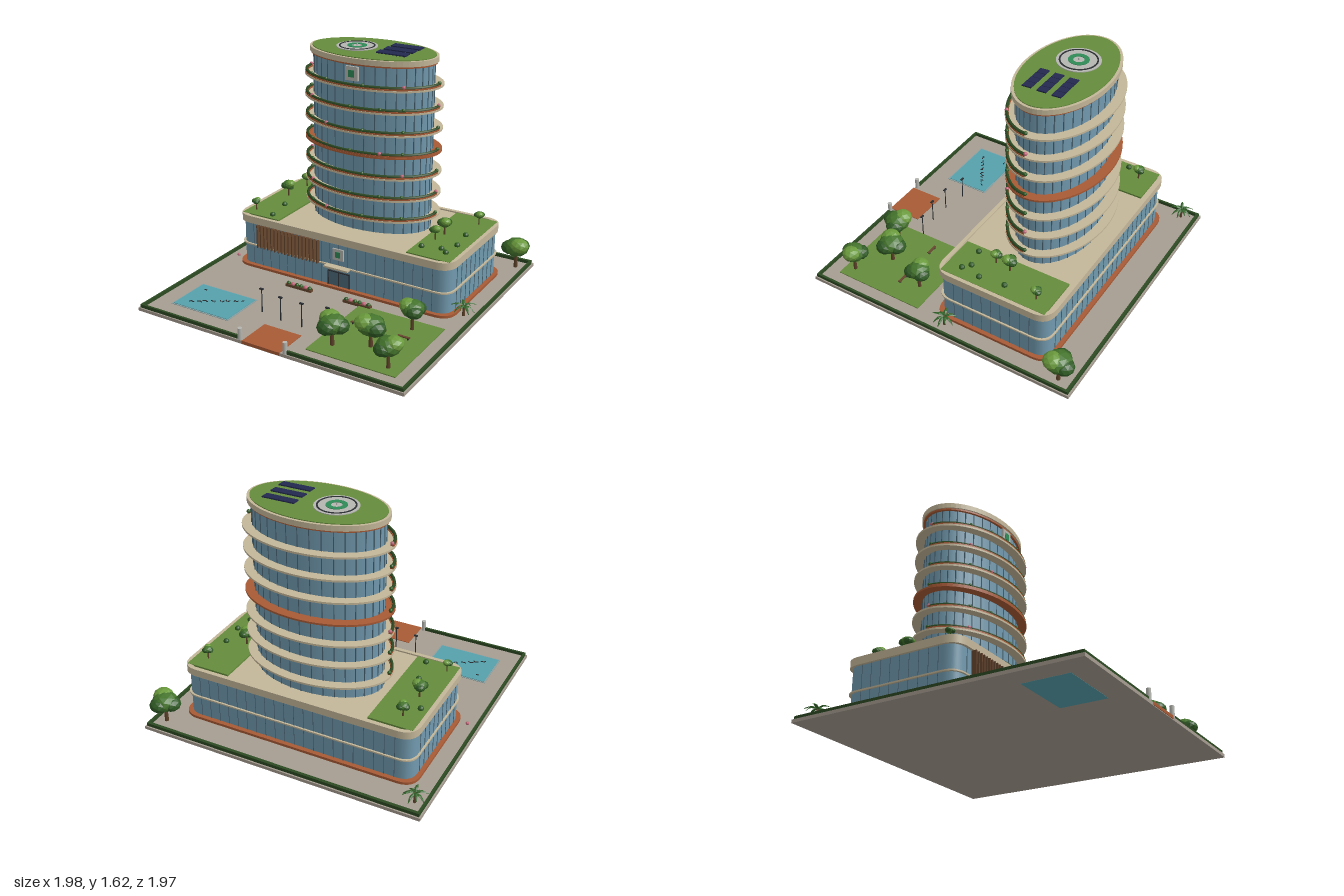
import * as THREE from 'three';

const mat = (color, extra = {}) => new THREE.MeshStandardMaterial({ color, ...extra });
const M = {
  paving: mat(0xa69d91), beige: mat(0xc4b799), glass: mat(0x7199ae), mullion: mat(0x4c6877),
  terracotta: mat(0xa85a35), lawn: mat(0x658c3c), hedge: mat(0x2c4a22), water: mat(0x55a0ab),
  dark: mat(0x2b2f33), bark: mat(0x5c4028), wood: mat(0x66462f), panel: mat(0x23294f), grey: mat(0xb5b5b0),
  green: mat(0x2f8a57), flower: mat(0xc06478), poolEdge: mat(0x88a0a2),
  leafDark: mat(0x2f5a24, { flatShading: true }), leaf: mat(0x44742c, { flatShading: true }),
  leafLight: mat(0x6a9a3c, { flatShading: true }),
  frond: mat(0x35662c, { side: THREE.DoubleSide, flatShading: true }),
};

export function createModel() {
  const root = new THREE.Group();
  const add = (name, geo, material, x = 0, y = 0, z = 0, parent = root) => {
    const m = new THREE.Mesh(geo, material);
    m.name = name;
    m.position.set(x, y, z);
    parent.add(m);
    return m;
  };
  // Box given by its extents on each axis
  const box = (name, material, x0, x1, y0, y1, z0, z1, parent = root) =>
    add(name, new THREE.BoxGeometry(x1 - x0, y1 - y0, z1 - z0), material,
      (x0 + x1) / 2, (y0 + y1) / 2, (z0 + z1) / 2, parent);
  // Flat plate extruded upwards from a plan shape
  const plate = (name, shape, material, x, y0, y1, z, parent = root) => {
    const geo = new THREE.ExtrudeGeometry(shape, { depth: y1 - y0, bevelEnabled: false, curveSegments: 32 });
    return add(name, geo.rotateX(-Math.PI / 2), material, x, y0, z, parent);
  };
  const ellipse = (rx, rz) => new THREE.Shape().absellipse(0, 0, rx, rz, 0, Math.PI * 2);
  const ring = (rx, rz, ix, iz) => {
    const s = ellipse(rx, rz);
    s.holes.push(new THREE.Path().absellipse(0, 0, ix, iz, 0, Math.PI * 2, true));
    return s;
  };
  const roundRect = (hx, hz, r, Kind = THREE.Shape) => {
    const s = new Kind();
    s.moveTo(-hx + r, -hz).lineTo(hx - r, -hz).quadraticCurveTo(hx, -hz, hx, -hz + r);
    s.lineTo(hx, hz - r).quadraticCurveTo(hx, hz, hx - r, hz);
    s.lineTo(-hx + r, hz).quadraticCurveTo(-hx, hz, -hx, hz - r);
    s.lineTo(-hx, -hz + r).quadraticCurveTo(-hx, -hz, -hx + r, -hz);
    return s;
  };

  // Site: ground, hedges, path, pool, lawn
  box('ground', M.paving, -0.99, 0.98, 0.015, 0.037, -0.99, 0.98);
  box('hedgeBack', M.hedge, -0.98, 0.97, 0.037, 0.06, -0.98, -0.96);
  for (const x of [-0.98, 0.955]) box('hedgeSide', M.hedge, x, x + 0.016, 0.037, 0.06, -0.97, 0.97);
  for (const [a, b] of [[-0.98, -0.19], [0.175, 0.97]]) box('hedgeFront', M.hedge, a, b, 0.037, 0.06, 0.957, 0.972);
  for (const x of [-0.175, 0.16]) add('gatePost', new THREE.CylinderGeometry(0.015, 0.015, 0.08, 12), M.grey, x, 0.075, 0.965);
  box('entrancePath', M.terracotta, -0.15, 0.13, 0.02, 0.041, 0.74, 0.984);
  box('poolEdge', M.poolEdge, -0.84, -0.38, 0.02, 0.04, 0.495, 0.825);
  box('poolWater', M.water, -0.83, -0.39, 0.014, 0.043, 0.505, 0.815);
  for (let i = 0; i < 16; i++) {
    const x = -0.77 + ((i * 0.618) % 1) * 0.33, z = 0.56 + ((i * 0.377) % 1) * 0.2;
    const tile = box('poolRipple', M.dark, x, x + 0.02, 0.043, 0.047, z, z + 0.006);
    tile.rotation.y = i * 1.3;
  }
  box('frontLawn', M.lawn, 0.24, 0.86, 0.03, 0.043, 0.21, 0.865);
  for (const x of [0.36, 0.527, 0.695]) {
    box('benchSeat', M.wood, x - 0.042, x + 0.042, 0.055, 0.061, 0.443, 0.46);
    for (const s of [-0.03, 0.03]) box('benchLeg', M.dark, x + s - 0.004, x + s + 0.004, 0.04, 0.055, 0.445, 0.458);
  }
  for (const x of [-0.237, 0.22]) {
    box('planterTrough', M.wood, x - 0.103, x + 0.103, 0.037, 0.055, 0.195, 0.226);
    for (let i = 0; i < 6; i++)
      add('planterShrub', new THREE.IcosahedronGeometry(0.015, 1), i % 3 === 1 ? M.flower : M.leafDark, x - 0.085 + i * 0.034, 0.058, 0.21);
  }
  for (const [x, z] of [[-0.26, 0.61], [-0.09, 0.645], [0.07, 0.645], [0.24, 0.61]]) {
    add('lampPost', new THREE.CylinderGeometry(0.003, 0.004, 0.165, 6), M.dark, x, 0.12, z);
    box('lampHead', M.dark, x - 0.014, x + 0.014, 0.2, 0.208, z - 0.007, z + 0.007);
  }

  // Podium
  const podium = new THREE.Group();
  podium.name = 'podium';
  podium.position.set(-0.006, 0, -0.332);
  root.add(podium);
  const HX = 0.815, HZ = 0.4;
  plate('podiumPlinth', roundRect(0.843, 0.43, 0.12), M.terracotta, 0, 0.03, 0.055, 0, podium);
  plate('podiumGlass', roundRect(HX, HZ, 0.1), M.glass, 0, 0.05, 0.375, 0, podium);
  plate('podiumBand', roundRect(HX + 0.012, HZ + 0.012, 0.105), M.beige, 0, 0.197, 0.207, 0, podium);
  plate('podiumDeck', roundRect(HX, HZ, 0.1), M.beige, 0, 0.375, 0.412, 0, podium);
  const cornice = roundRect(0.832, 0.42, 0.12);
  cornice.holes.push(roundRect(0.805, 0.393, 0.1, THREE.Path));
  plate('podiumCornice', cornice, M.beige, 0, 0.37, 0.422, 0, podium);
  for (let x = -0.7; x < 0.71; x += 0.07)
    for (const s of [-1, 1]) box('podiumMullion', M.mullion, x - 0.002, x + 0.002, 0.055, 0.37, s * HZ - 0.003, s * HZ + 0.003, podium);
  for (let z = -0.28; z < 0.29; z += 0.07)
    for (const s of [-1, 1]) box('podiumMullion', M.mullion, s * HX - 0.003, s * HX + 0.003, 0.055, 0.37, z - 0.002, z + 0.002, podium);
  for (let i = 0; i < 18; i++)
    box('louvre', M.wood, -0.66 + i * 0.029, -0.652 + i * 0.029, 0.2, 0.37, 0.07, 0.105);
  for (const [a, b] of [[-0.81, -0.51], [0.49, 0.8]]) box('roofLawn', M.lawn, a, b, 0.4, 0.424, -0.71, 0.05);

  // Entrance
  box('canopy', M.beige, -0.1, 0.088, 0.197, 0.209, 0.07, 0.12);
  box('doorGlass', M.mullion, -0.085, 0.075, 0.04, 0.155, 0.06, 0.074);
  for (const x of [-0.09, -0.007, 0.076]) box('doorPost', M.dark, x, x + 0.005, 0.037, 0.16, 0.07, 0.08);
  box('doorHead', M.dark, -0.09, 0.081, 0.157, 0.163, 0.07, 0.08);

  // Plain sign boards
  for (const [y, z, s] of [[0.29, 0.078, 0.041], [1.505, -0.095, 0.047]]) {
    box('signBoard', M.grey, -0.01 - s, -0.01 + s, y - s, y + s, z - 0.015, z);
    box('signInset', M.green, -0.01 - s * 0.45, -0.01 + s * 0.45, y - s * 0.5, y + s * 0.5, z, z + 0.004);
  }

  // Tower
  const tower = new THREE.Group();
  tower.name = 'tower';
  tower.position.set(-0.008, 0, -0.378);
  root.add(tower);
  const RX = 0.44, RZ = 0.256;
  add('towerGlass', new THREE.CylinderGeometry(1, 1, 1.17, 64), M.glass, 0, 0.99, 0, tower).scale.set(RX, 1, RZ);
  for (let i = 0; i < 36; i++) {
    const a = (i / 36) * Math.PI * 2;
    box('towerMullion', M.mullion, -0.003, 0.003, 0.41, 1.57, -0.003, 0.003, tower)
      .position.set(Math.cos(a) * RX, 0.99, Math.sin(a) * RZ);
  }
  // Front half of a balcony edge, used for trough and hedge
  const halfRing = new THREE.Shape().absellipse(0, 0, 0.5, 0.318, Math.PI, Math.PI * 2, false);
  halfRing.lineTo(0.478, 0).absellipse(0, 0, 0.478, 0.296, 0, Math.PI, true);
  class FrontArc extends THREE.Curve {
    getPoint(t, p = new THREE.Vector3()) {
      return p.set(-Math.cos(t * Math.PI) * 0.49, 0, Math.sin(t * Math.PI) * 0.308);
    }
  }
  const arc = new FrontArc();
  const hedgeGeo = new THREE.TubeGeometry(arc, 48, 0.01, 6);
  for (let f = 0; f < 7; f++) {
    const y = 0.513 + f * 0.15;
    plate('balconySlab', ring(0.503, 0.32, RX - 0.01, RZ - 0.01), f === 3 ? M.terracotta : M.beige, 0, y, y + 0.013, 0, tower);
    // Front half only: mirrored outline of the far side is cut away
    const shape = new THREE.Shape();
    for (let i = 0; i <= 64; i++) {
      const outer = i <= 32, a = (Math.PI * (outer ? i : 64 - i)) / 32;
      const x = -Math.cos(a) * (outer ? 0.5 : 0.478), d = -Math.sin(a) * (outer ? 0.318 : 0.296);
      if (i) shape.lineTo(x, d); else shape.moveTo(x, d);
    }
    plate('balconyTrough', shape, M.terracotta, 0, y + 0.013, y + 0.024, 0, tower);
    add('balconyHedge', hedgeGeo, M.hedge, 0, y + 0.028, 0, tower);
    [0, 0.25, f % 2 ? 0.5 : 0.37, f % 2 ? 0.64 : 0.56, 0.75, 1].forEach((t, i) => {
      const p = arc.getPoint(t);
      add('balconyShrub', new THREE.IcosahedronGeometry(0.013, 1), (i + f) % 4 === 2 ? M.flower : M.leafDark, p.x, y + 0.032, p.z, tower);
    });
  }
  plate('roofTrim', ellipse(0.457, 0.273), M.terracotta, 0, 1.56, 1.572, 0, tower);
  plate('roofCap', ellipse(0.465, 0.283), M.beige, 0, 1.572, 1.607, 0, tower);
  plate('roofGarden', ellipse(0.447, 0.265), M.lawn, 0, 1.6, 1.612, 0, tower);

  // Landing pad and solar panels
  plate('landingPad', ellipse(0.139, 0.139), M.grey, -0.135, 1.605, 1.617, -0.38);
  plate('landingRing', ring(0.122, 0.122, 0.112, 0.112), M.dark, -0.135, 1.617, 1.62, -0.38);
  plate('landingMark', ring(0.066, 0.066, 0.035, 0.035), M.green, -0.135, 1.617, 1.62, -0.38);
  add('landingLight', new THREE.CylinderGeometry(0.004, 0.006, 0.015, 8), M.grey, -0.135, 1.624, -0.38);
  for (const z of [-0.473, -0.373, -0.273])
    for (let i = 0; i < 4; i++) {
      const x = 0.112 + i * 0.055;
      box('solarPanel', M.panel, x - 0.026, x + 0.026, 1.624, 1.632, z - 0.031, z + 0.031).rotation.x = 0.06;
      box('solarStand', M.dark, x - 0.004, x + 0.004, 1.608, 1.626, z - 0.004, z + 0.004);
    }

  // Trees: trunk with a cluster of faceted crowns
  const tree = (x, z, r, base, crownY) => {
    const g = new THREE.Group();
    g.name = 'tree';
    g.position.set(x, base, z);
    g.rotation.y = x * 9 + z * 5;
    root.add(g);
    const h = crownY - base;
    add('trunk', new THREE.CylinderGeometry(r * 0.08, r * 0.13, h, 7), M.bark, 0, h / 2, 0, g);
    [[0, 0, 0, 0.8, M.leaf], [0.38, -0.08, 0.15, 0.6, M.leafDark], [-0.3, -0.05, 0.3, 0.6, M.leafDark],
      [-0.1, 0.2, -0.32, 0.62, M.leafLight]].forEach(([dx, dy, dz, s, m]) => {
      add('crown', new THREE.IcosahedronGeometry(r * s, 1), m, dx * r, h + dy * r, dz * r, g).scale.y = 0.75;
    });
  };
  for (const [x, z, r] of [[0.685, 0.32, 0.095], [0.565, 0.635, 0.11], [0.355, 0.74, 0.11], [0.775, 0.795, 0.1], [0.89, -0.87, 0.11]])
    tree(x, z, r, 0.037, 0.19);
  for (const [x, z, r] of [[-0.695, -0.6, 0.045], [-0.705, -0.37, 0.055], [-0.75, -0.03, 0.035],
    [0.71, -0.6, 0.04], [0.58, -0.33, 0.055], [0.565, -0.22, 0.043]]) tree(x, z, r, 0.42, 0.455 + r);
  for (const [x, z] of [[-0.765, -0.49], [-0.625, -0.2], [-0.59, 0], [0.715, -0.375], [0.735, -0.2], [0.67, -0.1], [0.54, -0.07], [0.72, -0.06]])
    add('roofShrub', new THREE.IcosahedronGeometry(0.02, 1), M.leafDark, x, 0.43, z);
  add('flowerBush', new THREE.IcosahedronGeometry(0.012, 1), M.flower, -0.905, 0.045, -0.005);

  // Palms: drooping folded fronds
  const frondGeo = new THREE.PlaneGeometry(0.075, 0.022, 4, 2).rotateX(-Math.PI / 2).translate(0.0375, 0, 0);
  const fp = frondGeo.attributes.position;
  for (let i = 0; i < fp.count; i++) {
    const t = fp.getX(i) / 0.075, z = fp.getZ(i);
    fp.setXYZ(i, fp.getX(i), 0.045 * t - 0.075 * t * t - Math.abs(z) * 0.5, z * Math.sin(Math.PI * (0.12 + 0.85 * t)));
  }
  frondGeo.computeVertexNormals();
  for (const [x, z] of [[-0.905, -0.87], [0.88, -0.02]]) {
    add('palmTrunk', new THREE.CylinderGeometry(0.006, 0.01, 0.075, 7), M.bark, x, 0.073, z);
    for (let i = 0; i < 9; i++) {
      const f = add('palmFrond', frondGeo, M.frond, x, 0.108, z);
      f.rotation.set(0, (i / 9) * Math.PI * 2, i % 2 ? 0.45 : 0.05, 'YXZ');
    }
  }
  return root;
}
